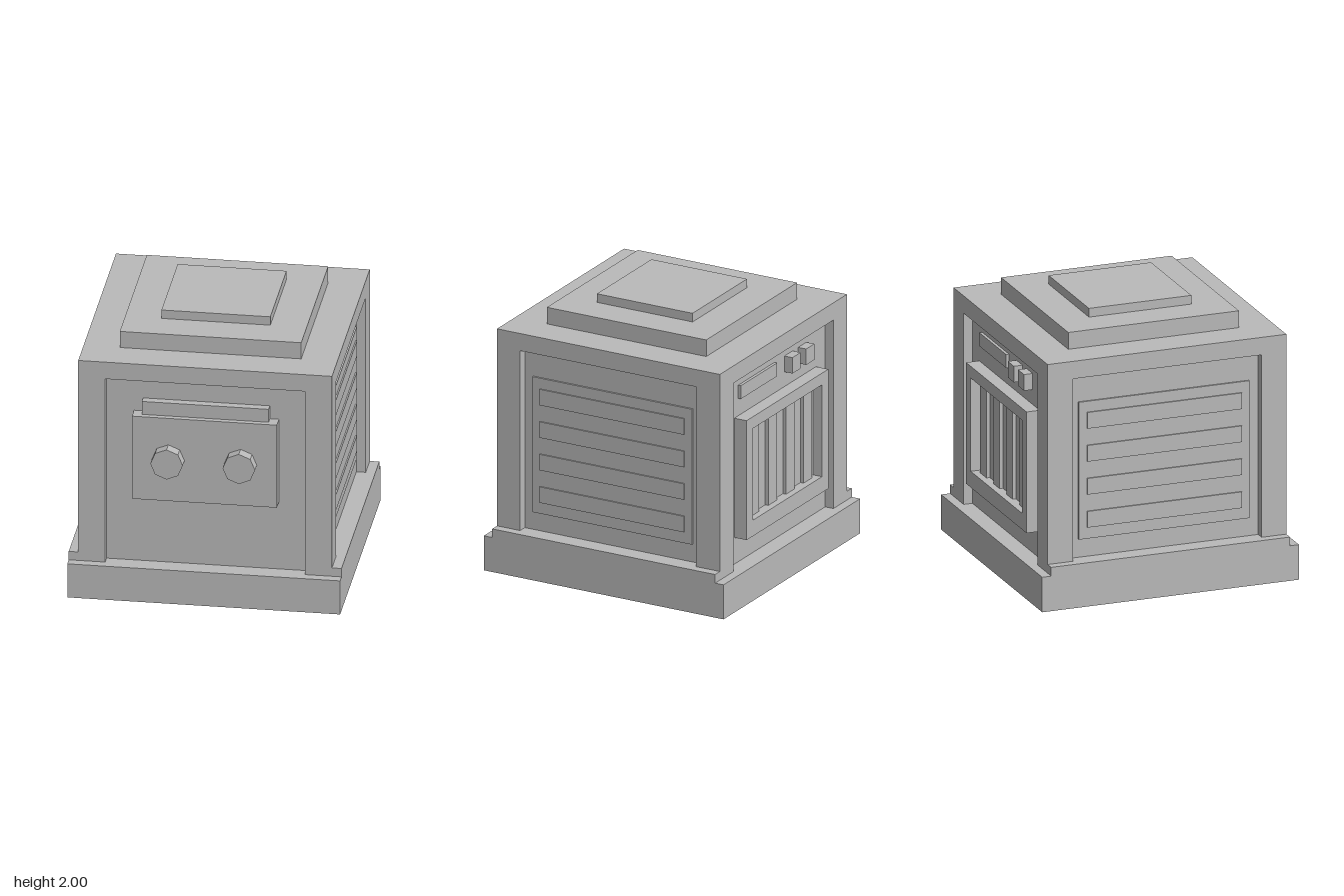
import * as THREE from 'three';

const grey = new THREE.MeshStandardMaterial({ color: 0xbababa });
grey.name = 'plain grey';

export function createModel() {
  const model = new THREE.Group();
  model.name = 'cabinet';
  const midZ = -0.025; // the body sits slightly behind the centre

  const add = (name, geometry) => {
    const mesh = new THREE.Mesh(geometry, grey);
    mesh.name = name;
    model.add(mesh);
    return mesh;
  };
  // box given by its extents on each axis
  const box = (name, x0, x1, y0, y1, z0, z1) => {
    const mesh = add(name, new THREE.BoxGeometry(x1 - x0, y1 - y0, z1 - z0));
    mesh.position.set((x0 + x1) / 2, (y0 + y1) / 2, (z0 + z1) / 2);
    return mesh;
  };
  // square slab centred on the body
  const slab = (name, half, y0, y1) => box(name, -half, half, y0, y1, midZ - half, midZ + half);

  // plinth, recessed core, top cap and stepped lid
  slab('plinth', 0.97, 0, 0.26);
  slab('core', 0.835, 0.26, 1.68);
  slab('topCap', 0.902, 1.68, 1.81);
  slab('lowerLid', 0.645, 1.81, 1.935);
  slab('upperLid', 0.387, 1.935, 2);

  for (const s of [-1, 1]) {
    const sideBox = (name, a, b, ...rest) => box(name, Math.min(s * a, s * b), Math.max(s * a, s * b), ...rest);

    // corner posts
    sideBox('frontPost', 0.71, 0.902, 0.26, 1.68, 0.69, 0.877);
    sideBox('backPost', 0.71, 0.902, 0.26, 1.68, -0.927, -0.735);

    // side sill, panel and slats
    sideBox('sideSill', 0.83, 0.97, 0.26, 0.325, -0.927, 0.877);
    sideBox('sidePanel', 0.83, 0.848, 0.46, 1.48, -0.67, 0.62);
    for (let i = 0; i < 4; i++) {
      const y = 0.545 + i * 0.245;
      sideBox('sideSlat', 0.845, 0.858, y, y + 0.12, -0.61, 0.56);
    }

    // eight-sided knobs with a corner at the top
    const knob = add('knob', new THREE.CylinderGeometry(0.115, 0.115, 0.09, 8).toNonIndexed());
    knob.geometry.computeVertexNormals();
    knob.rotation.x = Math.PI / 2;
    knob.position.set(s * 0.257, 1.1, 0.95);
  }

  // front control panel and the bar above it
  box('controlPanel', -0.515, 0.515, 0.78, 1.42, 0.8, 0.91);
  box('controlBar', -0.45, 0.45, 1.42, 1.52, 0.8, 0.87);

  // back vent: frame with an opening, and upright slats inside
  const frame = new THREE.Shape([
    new THREE.Vector2(-0.58, 0.46), new THREE.Vector2(0.58, 0.46),
    new THREE.Vector2(0.58, 1.36), new THREE.Vector2(-0.58, 1.36),
  ]);
  frame.holes.push(new THREE.Path([
    new THREE.Vector2(-0.49, 0.58), new THREE.Vector2(-0.49, 1.272),
    new THREE.Vector2(0.49, 1.272), new THREE.Vector2(0.49, 0.58),
  ]));
  const vent = add('ventFrame', new THREE.ExtrudeGeometry(frame, { depth: 0.11, bevelEnabled: false }));
  vent.position.z = -0.96;
  box('ventBacking', -0.5, 0.5, 0.57, 1.28, -0.885, -0.855);
  for (let i = 0; i < 4; i++) {
    const x = -0.375 + i * 0.25;
    box('ventSlat', x - 0.06, x + 0.06, 0.58, 1.272, -0.91, -0.88);
  }

  // back strip and two buttons above the vent
  box('backStrip', 0.01, 0.525, 1.49, 1.59, -0.882, -0.855);
  for (const x of [-0.19, -0.385]) box('backButton', x - 0.058, x + 0.058, 1.47, 1.59, -0.925, -0.855);

  return model;
}
